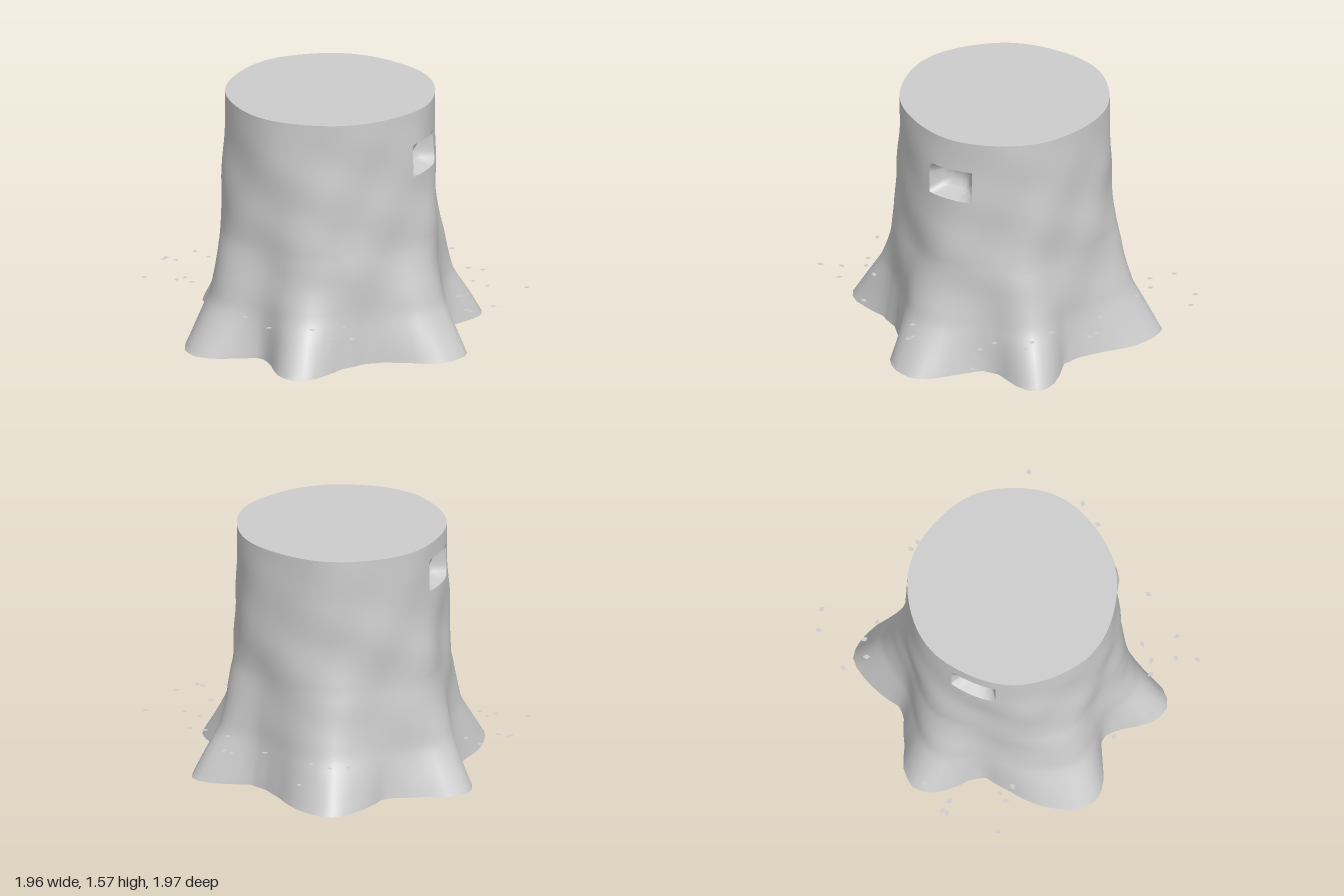
import * as THREE from 'three';

const COLS = 96, ROWS = 45, HEIGHT = 1.57;

// Root flare outline on the ground, as x, z pairs
const FLARE = [
  -0.12, 0.99, 0, 0.93, 0.07, 0.83, 0.15, 0.7, 0.22, 0.67, 0.33, 0.71, 0.48, 0.78, 0.61, 0.78,
  0.68, 0.68, 0.67, 0.55, 0.64, 0.4, 0.65, 0.24, 0.7, 0.12, 0.8, 0, 0.92, -0.11, 0.945, -0.23,
  0.92, -0.36, 0.85, -0.42, 0.67, -0.47, 0.5, -0.51, 0.43, -0.62, 0.42, -0.83, 0.39, -0.89,
  0.32, -0.94, 0.2, -0.89, 0.03, -0.72, -0.1, -0.7, -0.25, -0.72, -0.48, -0.765, -0.6, -0.75,
  -0.72, -0.7, -0.75, -0.6, -0.75, -0.52, -0.69, -0.25, -0.71, -0.18, -0.82, -0.03, -0.92, 0.09,
  -0.955, 0.21, -0.9, 0.31, -0.79, 0.365, -0.63, 0.4, -0.55, 0.44, -0.49, 0.6, -0.4, 0.79, -0.23, 0.96,
];

// Share of the root flare left at each height
const FADE = [[0, 1], [0.3, 0.48], [0.5, 0.3], [0.7, 0.16], [1, 0.07], [1.3, 0.02], [1.6, 0]];

// Knot holes as grid ranges: first column, last column, first row, last row
const KNOTS = [[27, 34, 33, 39], [76, 83, 36, 42]];

// Leaf flakes around the roots, as x, z pairs
const FLAKES = [
  -0.75, -0.97, -0.85, -0.87, -0.07, -0.95, -0.01, -0.96, -0.2, -0.79, -0.53, -0.69, -0.66, -0.65,
  -0.72, -0.55, -0.88, -0.58, 0.82, -0.91, 0.41, -0.88, 0.33, -0.83, 0.16, -0.79, 0.53, -0.71,
  0.65, -0.73, 0.69, -0.48, 0.96, -0.54, 0.91, -0.37, 0.83, -0.24, 0.95, -0.375, 0.92, 0.18,
  0.69, 0.42, 0.67, 0.54, 0.61, 0.61, 0.89, 0.51, 0.9, 0.71, 0.8, 0.62, 0.42, 0.8, 0.18, 0.8,
  -0.77, 0.86, -0.61, 0.73, -0.61, 0.665, -0.52, 0.68, -0.95, 0.57, -0.96, 0.54, -0.89, 0.52,
  -0.94, 0.33, -0.81, 0.325,
];

function interpolate(table, t) {
  let k = 1;
  while (k < table.length - 1 && table[k][0] < t) k++;
  const [a, va] = table[k - 1], [b, vb] = table[k];
  return va + (vb - va) * THREE.MathUtils.clamp((t - a) / (b - a), 0, 1);
}

// Flare outline as angle and radius, padded so it wraps round
const polar = [];
for (let i = 0; i < FLARE.length; i += 2) {
  const a = Math.atan2(FLARE[i], FLARE[i + 1]), r = Math.hypot(FLARE[i], FLARE[i + 1]);
  for (const turn of [-1, 0, 1]) polar.push([a + turn * Math.PI * 2, r]);
}
polar.sort((p, q) => p[0] - q[0]);

function radius(a, y) {
  const top = 0.651 + 0.006 * Math.sin(3 * a + 1) + 0.004 * Math.sin(7 * a);
  const bumps = 0.008 * Math.sin(5 * a + 4 * y) + 0.006 * Math.sin(9 * a - 7 * y + 1)
    + 0.005 * Math.sin(4 * a + 13 * y + 2);
  const bumpy = Math.sin(Math.PI * THREE.MathUtils.clamp(y / HEIGHT, 0, 1));
  // soften the root lobes as they climb
  const s = 0.03 + 0.15 * Math.min(y, 1);
  const flare = (interpolate(polar, a - s) + 2 * interpolate(polar, a) + interpolate(polar, a + s)) / 4;
  const base = THREE.MathUtils.lerp(interpolate(polar, a), flare, Math.min(1, y * 3));
  return top + (base - top) * interpolate(FADE, y) + bumps * bumpy;
}

function barkPoint(i, j, depth = 0) {
  let a = ((i + 0.5) / COLS) * Math.PI * 2;
  if (a > Math.PI) a -= Math.PI * 2;
  const y = (j / ROWS) * HEIGHT, r = radius(a, y) - depth;
  return [r * Math.sin(a), y, r * Math.cos(a)];
}

function makeGeometry(positions, index) {
  const g = new THREE.BufferGeometry();
  g.setAttribute('position', new THREE.Float32BufferAttribute(positions, 3));
  g.setIndex(index);
  g.computeVertexNormals();
  return g;
}

// Hollow trunk wall, leaving out the knot holes
function barkGeometry() {
  const positions = [], index = [];
  for (let j = 0; j <= ROWS; j++) for (let i = 0; i < COLS; i++) positions.push(...barkPoint(i, j));
  for (let j = 0; j < ROWS; j++) {
    for (let i = 0; i < COLS; i++) {
      if (KNOTS.some(([a, b, c, d]) => i >= a && i < b && j >= c && j < d)) continue;
      const n = (i + 1) % COLS, p = j * COLS, q = p + COLS;
      index.push(p + i, p + n, q + n, p + i, q + n, q + i);
    }
  }
  return makeGeometry(positions, index);
}

// Hollow sunk into the trunk behind a knot hole
function knotGeometry([a, b, c, d]) {
  const positions = [], index = [], w = b - a + 1;
  for (let j = c; j <= d; j++) {
    for (let i = a; i <= b; i++) {
      const u = (2 * (i - a)) / (b - a) - 1, v = (2 * (j - c)) / (d - c) - 1;
      positions.push(...barkPoint(i, j, 0.13 * (1 - u ** 4) * (1 - v ** 4)));
    }
  }
  for (let j = 0; j < d - c; j++) {
    for (let i = 0; i < b - a; i++) {
      const p = j * w + i;
      index.push(p, p + 1, p + w + 1, p, p + w + 1, p + w);
    }
  }
  return makeGeometry(positions, index);
}

// Flat sawn top
function cutGeometry() {
  const positions = [0, HEIGHT, 0], index = [];
  for (let i = 0; i < COLS; i++) {
    positions.push(...barkPoint(i, ROWS));
    index.push(0, i + 1, ((i + 1) % COLS) + 1);
  }
  return makeGeometry(positions, index);
}

export function createModel() {
  const wood = new THREE.MeshStandardMaterial({ color: 0xcccccc, side: THREE.DoubleSide });
  wood.name = 'pale grey wood';

  const model = new THREE.Group();
  model.name = 'treeStump';
  const add = (name, geometry, parent = model) => {
    const mesh = new THREE.Mesh(geometry, wood);
    mesh.name = name;
    parent.add(mesh);
    return mesh;
  };

  add('bark', barkGeometry());
  add('sawnTop', cutGeometry());
  KNOTS.forEach((k) => add('knotHollow', knotGeometry(k)));

  // Small diamond flakes lying level around the roots
  const flakes = new THREE.Group();
  flakes.name = 'leafFlakes';
  model.add(flakes);
  const diamond = new THREE.CircleGeometry(0.023, 4).rotateX(-Math.PI / 2).scale(1, 1, 0.7);
  for (let i = 0; i < FLAKES.length; i += 2) {
    const flake = add('leafFlake', diamond, flakes);
    flake.position.set(FLAKES[i], 0.3, FLAKES[i + 1]);
    flake.rotation.y = i * 1.3;
  }
  return model;
}
